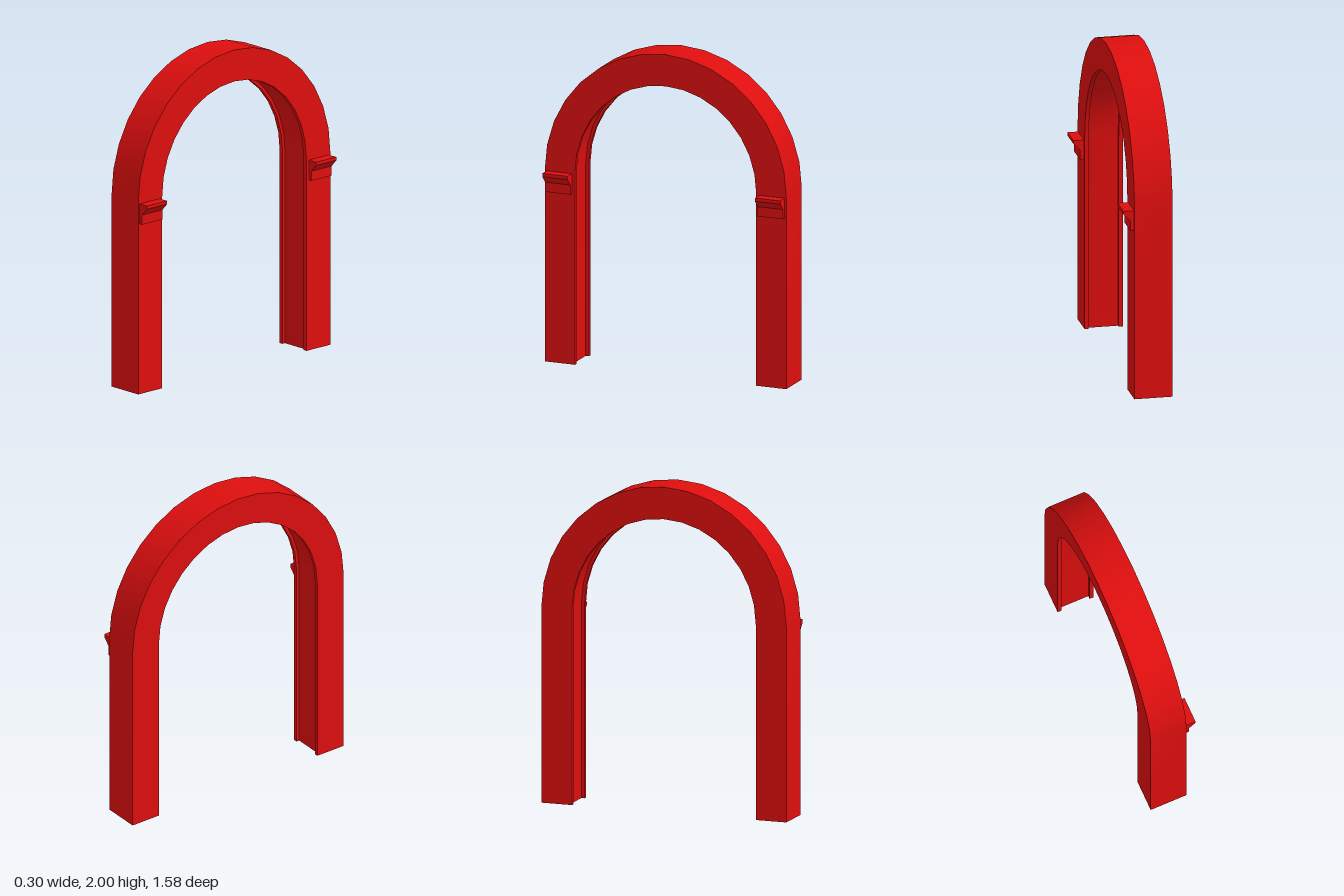
import * as THREE from 'three';
import { toCreasedNormals } from 'three/addons/utils/BufferGeometryUtils.js';

const SPRING = 1.2;   // height where the legs turn into the arch
const HALF_SPAN = 0.79;
const RISE = 0.8;
const SEGMENTS = 16;

// Frame section as (x, depth inward from the outer face): a channel with two lips on the inside
const SECTION = [
  [-0.15, 0], [0.085, 0], [0.085, 0.197], [0.06, 0.197],
  [0.06, 0.177], [-0.125, 0.177], [-0.125, 0.197], [-0.15, 0.197],
].map(([x, d]) => new THREE.Vector2(x, d));

// Sweep the section up one leg, around the arch and down the other leg
function archGeometry() {
  const positions = [];
  const index = [];
  const n = SECTION.length;
  const addRing = (angle, onGround) => {
    for (const p of SECTION) {
      const y = onGround ? 0 : SPRING + Math.sin(angle) * (RISE - p.y);
      positions.push(p.x, y, Math.cos(angle) * (HALF_SPAN - p.y));
    }
  };
  addRing(0, true);
  for (let i = 0; i <= SEGMENTS; i++) addRing((i / SEGMENTS) * Math.PI, false);
  addRing(Math.PI, true);

  const rings = SEGMENTS + 3;
  for (let i = 0; i < rings - 1; i++) {
    for (let j = 0; j < n; j++) {
      const k = (j + 1) % n;
      const a = i * n + j, b = i * n + k, c = (i + 1) * n + k, d = (i + 1) * n + j;
      index.push(a, b, c, a, c, d);
    }
  }
  // Feet of the two legs
  const last = (rings - 1) * n;
  for (const [a, b, c] of THREE.ShapeUtils.triangulateShape(SECTION, [])) {
    index.push(a, c, b, last + a, last + b, last + c);
  }
  const geometry = new THREE.BufferGeometry();
  geometry.setAttribute('position', new THREE.Float32BufferAttribute(positions, 3));
  geometry.setIndex(index);
  return toCreasedNormals(geometry, 0.5);
}

// Small bracket with a flared ledge, extruded along z
function bracketGeometry() {
  const profile = new THREE.Shape([
    [0.085, 1.065], [0.108, 1.065], [0.108, 1.125], [0.15, 1.17], [0.15, 1.19], [0.085, 1.19],
  ].map(([x, y]) => new THREE.Vector2(x, y)));
  const geometry = new THREE.ExtrudeGeometry(profile, { depth: 0.166, bevelEnabled: false });
  geometry.translate(0, 0, -0.083);
  return geometry;
}

export function createModel() {
  const model = new THREE.Group();
  model.name = 'archway';
  const red = new THREE.MeshStandardMaterial({ color: 0xdd0e0e });

  const arch = new THREE.Mesh(archGeometry(), red);
  arch.name = 'archFrame';
  model.add(arch);

  // One bracket on each leg
  const bracket = bracketGeometry();
  for (const side of [1, -1]) {
    const mesh = new THREE.Mesh(bracket, red);
    mesh.name = side > 0 ? 'frontBracket' : 'backBracket';
    mesh.position.z = side * 0.696;
    model.add(mesh);
  }
  return model;
}
